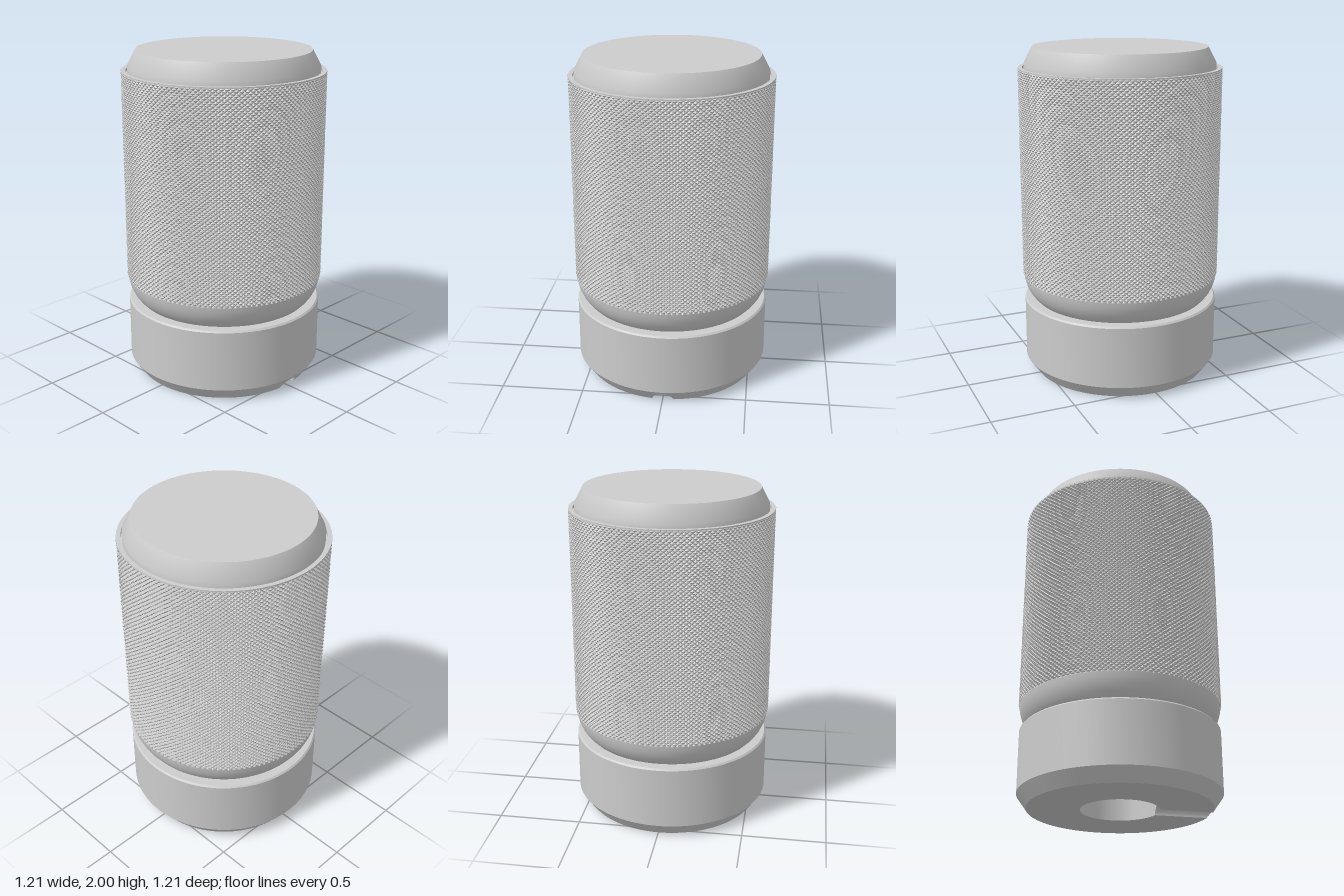
import * as THREE from 'three';
import { toCreasedNormals } from 'three/addons/utils/BufferGeometryUtils.js';

const BASE_R = 0.54, BODY_R = 0.597, CHAMFER_Y = 0.08;
const BORE_R = 0.23, BORE_DEPTH = 0.8, SLOT_R = 0.062;

// Surface from a rule: fn(u, v) returns [x, y, z]; it faces du x dv
function grid(nu, nv, fn) {
  const pos = [], index = [];
  for (let j = 0; j <= nv; j++)
    for (let i = 0; i <= nu; i++) pos.push(...fn(i / nu, j / nv));
  for (let j = 0; j < nv; j++)
    for (let i = 0; i < nu; i++) {
      const a = j * (nu + 1) + i, b = a + 1, d = a + nu + 1, c = d + 1;
      // alternate the diagonal so that it always joins odd corners
      if ((i + j) % 2 === 0) index.push(a, b, d, b, c, d);
      else index.push(a, b, c, a, c, d);
    }
  const geo = new THREE.BufferGeometry();
  geo.setAttribute('position', new THREE.Float32BufferAttribute(pos, 3));
  geo.setIndex(index);
  geo.computeVertexNormals();
  return geo;
}

function lathe(points) {
  const geo = new THREE.LatheGeometry(points.map(p => new THREE.Vector2(...p)), 96);
  return toCreasedNormals(geo, 0.5);
}

const chamferRadius = y => BASE_R + (BODY_R - BASE_R) * y / CHAMFER_Y;

// Lower edge of a round wall where the slot on +x cuts it
function slotHeight(angle, radius) {
  if (Math.sin(angle) < 0) return 0;
  const z = radius * Math.cos(angle);
  return Math.sqrt(Math.max(0, SLOT_R * SLOT_R - z * z));
}

export function createModel() {
  const group = new THREE.Group();
  const metal = new THREE.MeshStandardMaterial({ color: 0xcccccc });
  metal.name = 'light grey metal';
  const add = (name, geo) => {
    const mesh = new THREE.Mesh(geo, metal);
    mesh.name = name;
    group.add(mesh);
    return mesh;
  };

  // Base ring
  add('baseRing', lathe([[BODY_R, CHAMFER_Y], [BODY_R, 0.45], [0.588, 0.46], [0.5, 0.46]]));

  // Chamfer under the base, notched by the slot
  add('baseChamfer', grid(360, 1, (u, v) => {
    const a = u * Math.PI * 2 - Math.PI / 2;
    const low = slotHeight(a, 0.565);
    const y = low + (CHAMFER_Y - low) * v, r = chamferRadius(y);
    return [r * Math.sin(a), y, r * Math.cos(a)];
  }));

  // Bore wall and its ceiling
  add('boreWall', grid(360, 1, (u, v) => {
    const a = -u * Math.PI * 2 - Math.PI / 2;
    const low = slotHeight(a, BORE_R);
    return [BORE_R * Math.sin(a), low + (BORE_DEPTH - low) * v, BORE_R * Math.cos(a)];
  }));
  const ceiling = add('boreCeiling', new THREE.CircleGeometry(BORE_R, 64));
  ceiling.rotation.x = Math.PI / 2;
  ceiling.position.y = BORE_DEPTH;

  // Half-round slot from the bore to the rim
  add('slot', grid(24, 1, (u, v) => {
    const a = u * Math.PI, z = SLOT_R * Math.cos(a), y = SLOT_R * Math.sin(a);
    const inner = Math.sqrt(BORE_R ** 2 - z * z);
    const outer = Math.sqrt(chamferRadius(y) ** 2 - z * z);
    return [inner + (outer - inner) * v, y, z];
  }));

  // Underside: a ring left open at the slot
  const a0 = Math.asin(SLOT_R / BASE_R), a1 = Math.asin(SLOT_R / BORE_R);
  const face = new THREE.Shape();
  face.absarc(0, 0, BASE_R, a0, Math.PI * 2 - a0, false);
  face.absarc(0, 0, BORE_R, Math.PI * 2 - a1, a1, true);
  face.closePath();
  add('underside', new THREE.ShapeGeometry(face, 96)).rotation.x = Math.PI / 2;

  // Curved shoulder below the grip
  add('lowerShoulder', lathe([
    [0.45, 0.46], [0.53, 0.46], [0.552, 0.483], [0.572, 0.512],
    [0.588, 0.548], [0.598, 0.585], [0.602, 0.615],
  ]));

  // Knurled grip: rows of small staggered pyramids
  const around = 240, rows = 100;
  const knurl = grid(around, rows, (u, v) => {
    const peak = (Math.round(u * around) + Math.round(v * rows)) % 2 === 0;
    const r = peak ? 0.607 : 0.598, a = u * Math.PI * 2;
    return [r * Math.sin(a), 0.61 + 1.27 * v, r * Math.cos(a)];
  }).toNonIndexed();
  knurl.computeVertexNormals();
  add('knurledGrip', knurl);

  // Rim of the grip with a fine groove around the cap
  add('gripRim', lathe([[0.605, 1.872], [0.605, 1.88], [0.579, 1.88], [0.579, 1.86], [0.565, 1.86]]));

  // Chamfered top cap
  add('topCap', lathe([[0.57, 1.86], [0.57, 1.905], [0.52, 2], [0, 2]]));

  return group;
}
